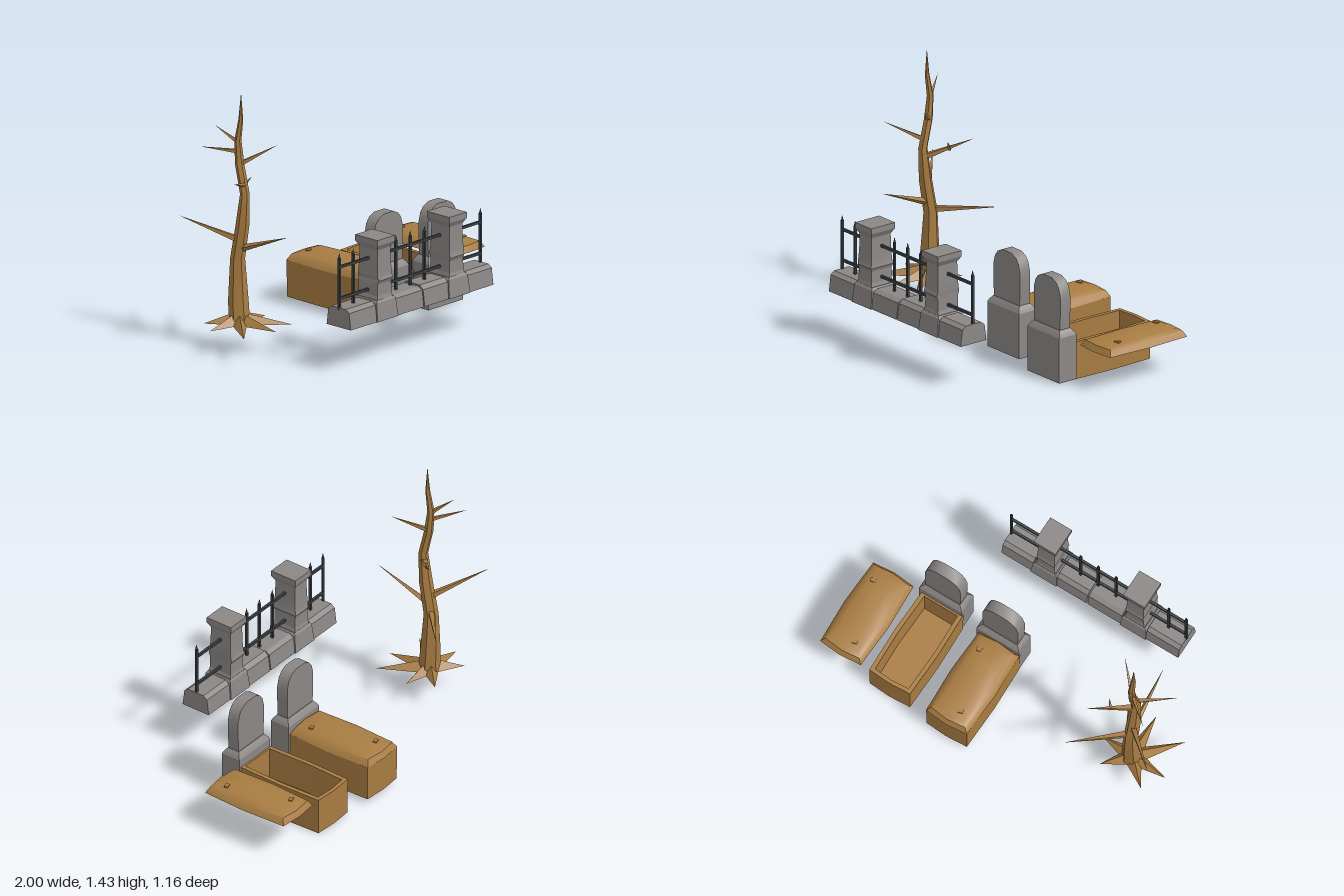
import * as THREE from 'three';
import { toCreasedNormals } from 'three/addons/utils/BufferGeometryUtils.js';

const mat = (name, color) => new THREE.MeshStandardMaterial({ name, color });
const V = (x, y, z) => new THREE.Vector3(x, y, z);

export function createModel() {
  const wood = mat('wood', 0xa87c42);
  const stone = mat('stone', 0x8b8785);
  const iron = mat('iron', 0x3a4046);
  stone.side = THREE.DoubleSide;
  const model = new THREE.Group();

  const group = (name) => {
    const g = new THREE.Group();
    g.name = name;
    model.add(g);
    return g;
  };
  const add = (parent, name, geo, material, crease = 0.5) => {
    const flat = geo.index ? geo.toNonIndexed() : geo;
    const mesh = new THREE.Mesh(toCreasedNormals(flat, crease), material);
    mesh.name = name;
    parent.add(mesh);
  };

  // Skin through rings of points, counter-clockwise seen from above
  const loft = (rings, closedBottom = true) => {
    const p = [];
    const tri = (...pts) => pts.forEach((v) => p.push(v.x, v.y, v.z));
    const n = rings[0].length;
    for (let i = 0; i < rings.length - 1; i++) {
      for (let j = 0; j < n; j++) {
        const k = (j + 1) % n, a = rings[i], b = rings[i + 1];
        tri(a[j], a[k], b[k]);
        tri(a[j], b[k], b[j]);
      }
    }
    const bottom = rings[0], top = rings[rings.length - 1];
    for (let j = 1; j < n - 1; j++) {
      if (closedBottom) tri(bottom[0], bottom[j + 1], bottom[j]);
      tri(top[0], top[j], top[j + 1]);
    }
    const geo = new THREE.BufferGeometry();
    geo.setAttribute('position', new THREE.Float32BufferAttribute(p, 3));
    return geo;
  };
  const rect = (cx, cz, y, hx, hz) => [
    V(cx + hx, y, cz + hz), V(cx + hx, y, cz - hz), V(cx - hx, y, cz - hz), V(cx - hx, y, cz + hz)];
  // Rectangle with slightly bowed sides and ends
  const bowed = (cx, cz, y, hx, hz, b = 0.008, front = 0) => [
    V(cx + hx - b, y, cz + hz - front), V(cx + hx, y, cz), V(cx + hx - b, y, cz - hz + b), V(cx, y, cz - hz),
    V(cx - hx + b, y, cz - hz + b), V(cx - hx, y, cz), V(cx - hx + b, y, cz + hz - front), V(cx, y, cz + hz)];
  // Pointed rod between two points
  const spike = (a, b, radius) => {
    const d = b.clone().sub(a);
    const geo = new THREE.CylinderGeometry(0, radius, d.length(), 4);
    geo.applyQuaternion(new THREE.Quaternion().setFromUnitVectors(V(0, 1, 0), d.normalize()));
    return geo.translate((a.x + b.x) / 2, (a.y + b.y) / 2, (a.z + b.z) / 2);
  };

  // Dead tree: bent trunk as [y, z, radius]
  const tree = group('deadTree');
  const trunk = [
    [0.15, -0.18, 0.062], [0.2, -0.18, 0.057], [0.29, -0.185, 0.054], [0.51, -0.19, 0.04],
    [0.7, -0.155, 0.037], [0.88, -0.137, 0.026], [1.04, -0.175, 0.025], [1.17, -0.188, 0.019],
    [1.29, -0.167, 0.013], [1.43, -0.165, 0.001]];
  add(tree, 'trunk', loft(trunk.map(([y, z, r]) => Array.from({ length: 6 }, (_, j) => {
    const a = j * Math.PI / 3 + 0.2;
    return V(-0.763 + r * Math.cos(a), y, z - r * Math.sin(a));
  }))), wood, 0.3);
  // Branches: start height and depth, tip, radius
  [[0.565, -0.18, -0.745, 0.695, 0.16, 0.021], [0.615, -0.175, -1.0, 0.76, -0.4, 0.021],
    [0.525, -0.19, -0.49, 0.555, -0.437, 0.022], [0.93, -0.145, -0.96, 1.0, -0.03, 0.016],
    [1.04, -0.175, -0.62, 1.145, -0.03, 0.016], [1.16, -0.188, -0.83, 1.25, -0.295, 0.014],
    [1.11, -0.18, -0.92, 1.145, -0.316, 0.014], [0.83, -0.145, -0.565, 0.948, -0.33, 0.021],
  ].forEach(([y, z, tx, ty, tz, r]) => add(tree, 'branch', spike(V(-0.763, y, z), V(tx, ty, tz), r), wood, 0.2));
  add(tree, 'twig', spike(V(-0.665, 0.88, -0.24), V(-0.635, 0.935, -0.205), 0.014), wood, 0.2);
  // Flat spreading roots
  [[-0.98, -0.19], [-0.96, 0.04], [-0.75, 0.08], [-0.59, 0.05], [-0.57, -0.17], [-0.64, -0.31], [-0.9, -0.31]]
    .forEach(([x, z]) => {
      const d = V(x + 0.765, 0, z + 0.18).normalize();
      const side = V(-d.z, 0, d.x).multiplyScalar(0.042);
      const s = V(-0.765, 0, -0.18).addScaledVector(d, 0.03);
      const l = s.clone().add(side).setY(0.15), r = s.clone().sub(side).setY(0.15);
      const t = s.clone().setY(0.208), tip = V(x, 0.15, z);
      const geo = new THREE.BufferGeometry().setFromPoints([l, tip, t, t, tip, r, l, r, tip, l, t, r]);
      add(tree, 'root', geo, wood, 0.1);
    });

  // Fence footing: bevelled stones, open underneath, as [left, right, top]
  const fence = group('fence');
  const Z = 0.48;
  [[-0.69, -0.485, 0.36], [-0.328, -0.117, 0.358], [-0.11, 0.082, 0.364], [0.235, 0.428, 0.36]]
    .forEach(([x0, x1, top]) => {
      const cx = (x0 + x1) / 2, hx = (x1 - x0) / 2;
      add(fence, 'footingStone', loft([
        rect(cx, Z, 0.25, hx, 0.088), rect(cx, Z, 0.342, hx, 0.076), rect(cx, Z, top, hx, 0.052),
      ], false), stone, 0.2);
    });
  // Pillars: footing block, worn shaft and flared cap
  [[-0.406, 0.006], [0.158, -0.002]].forEach(([x, chip]) => {
    add(fence, 'pillarFooting', loft([
      rect(x, Z, 0.25, 0.082, 0.095), rect(x, Z, 0.352, 0.074, 0.083), rect(x, Z, 0.364, 0.066, 0.075),
    ]), stone, 0.2);
    add(fence, 'pillarShaft', loft([
      rect(x, Z, 0.36, 0.062, 0.075), rect(x, Z, 0.385, 0.055, 0.069), rect(x, Z, 0.45, 0.053, 0.069),
      rect(x + chip, Z, 0.47, 0.055, 0.078), rect(x, Z, 0.49, 0.056, 0.072),
      rect(x, Z, 0.55, 0.053, 0.067), rect(x, Z, 0.645, 0.051, 0.065),
    ]), stone, 0.2);
    add(fence, 'pillarCap', loft([
      rect(x, Z, 0.64, 0.051, 0.065), rect(x, Z, 0.67, 0.068, 0.082), rect(x, Z, 0.702, 0.068, 0.082),
    ]), stone, 0.2);
  });
  // Iron rails and pointed pickets
  [0.41, 0.585].forEach((y) =>
    add(fence, 'rail', new THREE.BoxGeometry(1.115, 0.014, 0.014).translate(-0.133, y, Z), iron));
  [-0.686, -0.576, -0.242, -0.13, -0.018, 0.42].forEach((x) => {
    add(fence, 'picket', new THREE.BoxGeometry(0.013, 0.29, 0.013).translate(x, 0.49, Z), iron);
    add(fence, 'picketPoint', spike(V(x, 0.634, Z), V(x, 0.665, Z), 0.009), iron);
  });

  // Gravestones: pedestal and arched slab
  const arch = [[0.108, 0], [0.113, 0.12], [0.113, 0.2], [0.1, 0.25], [0.077, 0.28], [0.04, 0.298]];
  const outline = [...arch, ...arch.map(([x, y]) => [-x, y]).reverse()].map(([x, y]) => new THREE.Vector2(x, y));
  [[0.17, 0.03, 0.008], [0.555, 0.008, 0.043]].forEach(([x, y, z]) => {
    const g = group('gravestone');
    add(g, 'pedestal', loft([
      rect(x, z, y, 0.134, 0.059), rect(x, z, y + 0.255, 0.134, 0.059),
      rect(x, z, y + 0.272, 0.125, 0.05), rect(x, z, y + 0.29, 0.11, 0.037),
    ]), stone, 0.2);
    const slab = new THREE.ExtrudeGeometry(new THREE.Shape(outline), { depth: 0.068, bevelEnabled: false });
    add(g, 'slab', slab.translate(x, y + 0.272, z - 0.034), stone, 0.6);
  });

  // Coffins: hollow boxes with a rim
  const coffin = (x, z, y0, y1) => {
    const g = group('coffin');
    add(g, 'box', loft([
      bowed(x, z, y0, 0.135, 0.268), bowed(x, z, y1, 0.137, 0.27),
      bowed(x, z, y1, 0.113, 0.248), bowed(x, z, y0 + 0.03, 0.111, 0.246),
    ]), wood);
    return g;
  };
  // Domed lid with two low pegs
  const lid = (parent, x, z, y) => {
    add(parent, 'lid', loft([
      bowed(x, z, y, 0.14, 0.276, 0.012, 0.012), bowed(x, z, y + 0.034, 0.119, 0.258, 0.012, 0.012),
      bowed(x, z, y + 0.047, 0.09, 0.22, 0.01, 0.01), bowed(x, z, y + 0.055, 0.04, 0.14),
    ]), wood, 0.7);
    [[-0.04, -0.185], [0.065, 0.165]].forEach(([dx, dz]) => {
      const peg = new THREE.BoxGeometry(0.03, 0.022, 0.022).rotateY(0.3);
      add(parent, 'lidPeg', peg.translate(x + dx, y + 0.045, z + dz), wood);
    });
  };
  lid(coffin(0.162, -0.312, 0.03, 0.235), 0.162, -0.312, 0.235);
  coffin(0.545, -0.275, 0, 0.213);
  lid(group('looseLid'), 0.855, -0.275, 0.212);

  return model;
}
